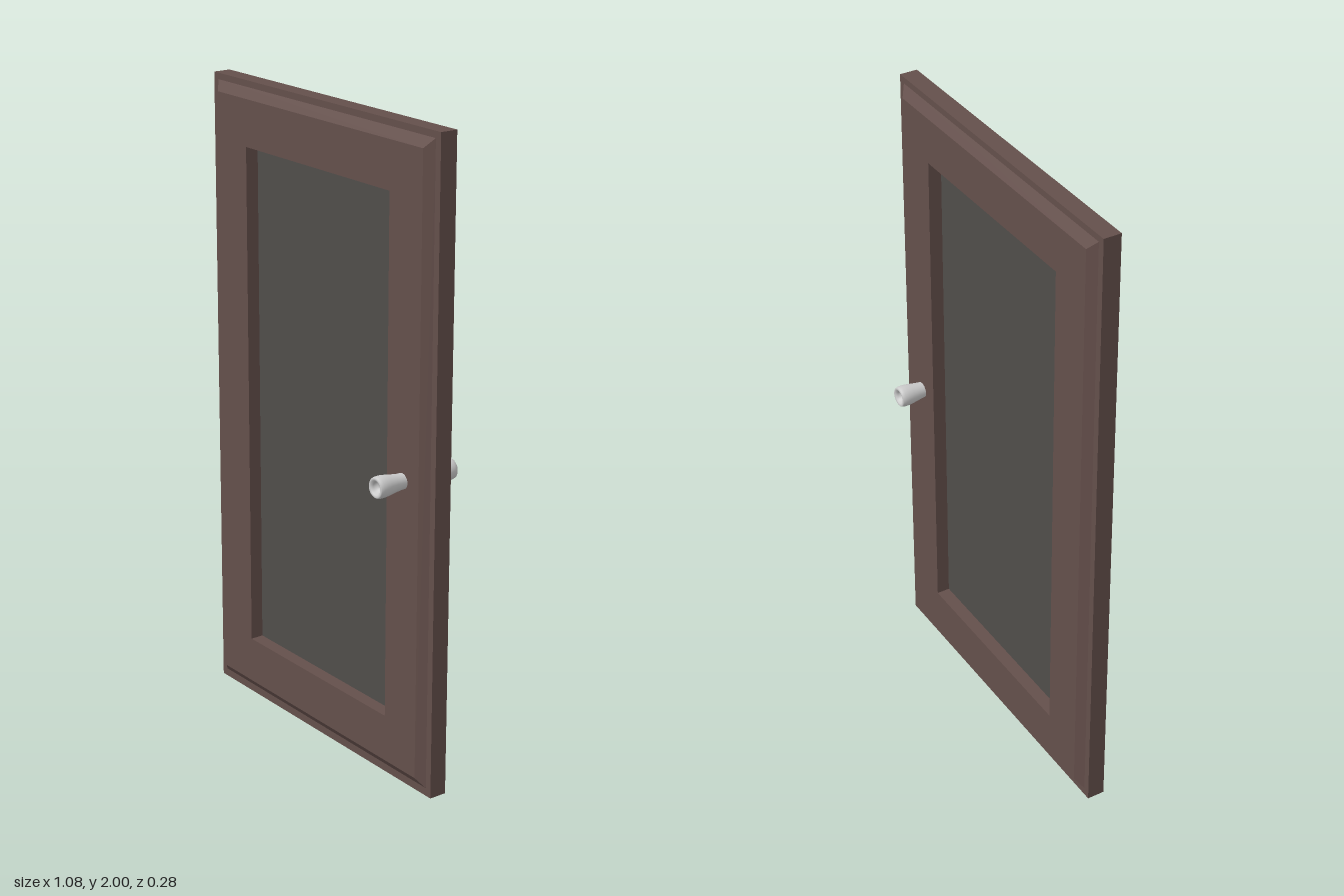
import * as THREE from 'three';

const wood = new THREE.MeshStandardMaterial({ color: 0x644f4b });
const pane = new THREE.MeshStandardMaterial({ color: 0x504d4a });
const metal = new THREE.MeshStandardMaterial({ color: 0xcccccc, side: THREE.DoubleSide });

// Joins rectangular rings [halfWidth, bottom, top, z] into a closed, mitred frame.
function mitredFrame(rings) {
  const corners = ([w, y0, y1, z]) => [[-w, y0, z], [w, y0, z], [w, y1, z], [-w, y1, z]];
  const pos = [];
  rings.forEach((ring, i) => {
    const a = corners(ring);
    const b = corners(rings[(i + 1) % rings.length]);
    for (let c = 0; c < 4; c++) {
      const n = (c + 1) % 4;
      pos.push(...a[c], ...b[c], ...b[n], ...a[c], ...b[n], ...a[n]);
    }
  });
  const geo = new THREE.BufferGeometry();
  geo.setAttribute('position', new THREE.Float32BufferAttribute(pos, 3));
  geo.computeVertexNormals();
  return geo;
}

function add(parent, name, geometry, material) {
  const mesh = new THREE.Mesh(geometry, material);
  mesh.name = name;
  parent.add(mesh);
  return mesh;
}

export function createModel() {
  const group = new THREE.Group();
  group.name = 'cabinetDoor';

  // Frame section: opening, raised face, bevel, outer edge, then the same on the back
  const opening = [0.347, 0.2, 1.805];
  const face = [0.492, 0.053, 1.95];
  const bevelFoot = [0.52, 0.025, 1.98];
  const edge = [0.542, 0, 2];
  add(group, 'frame', mitredFrame([
    [...opening, 0.04], [...face, 0.04], [...bevelFoot, 0.019], [...edge, 0.019],
    [...edge, -0.037], [...bevelFoot, -0.037], [...face, -0.058], [...opening, -0.058],
  ]), wood);

  // Inset panel, recessed on both sides
  const panel = add(group, 'panel', new THREE.BoxGeometry(0.7, 1.61, 0.014), pane);
  panel.position.set(0, 1.0025, -0.009);

  // Flared knobs with a hollow end, one on each face
  const profile = [
    [0.024, 0], [0.0245, 0.015], [0.027, 0.035], [0.031, 0.058], [0.033, 0.075],
    [0.033, 0.088], [0.031, 0.097], [0.028, 0.1], [0.022, 0.098], [0.017, 0.092],
    [0.014, 0.08], [0, 0.078],
  ].map(([r, h]) => new THREE.Vector2(r, h));
  for (const [name, z, turn] of [['frontKnob', 0.039, 1], ['backKnob', -0.0425, -1]]) {
    const knob = add(group, name, new THREE.LatheGeometry(profile, 32), metal);
    knob.rotation.x = turn * Math.PI / 2;
    knob.position.set(0.418, 0.97, z);
  }
  return group;
}
